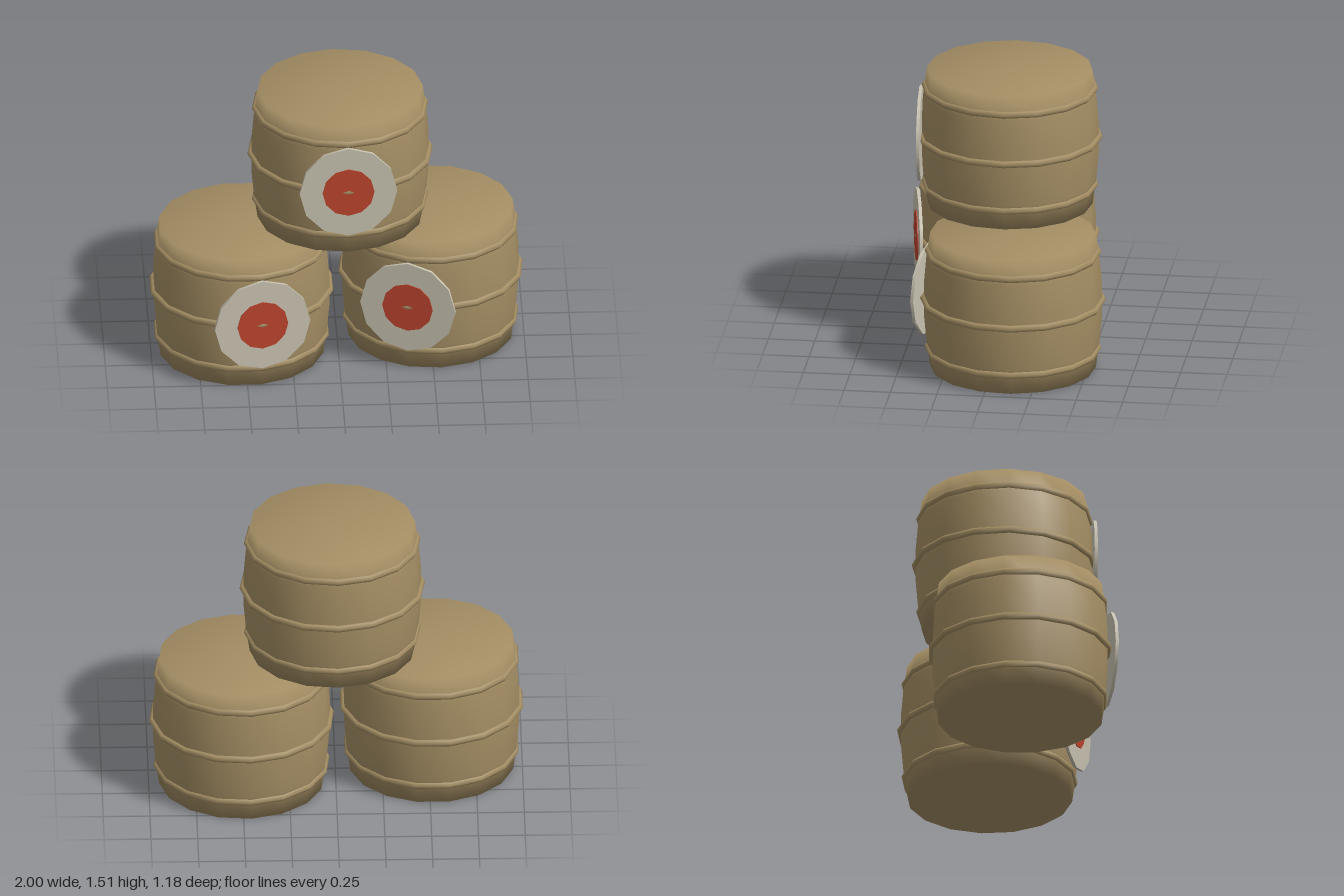
import * as THREE from 'three';

const wood = new THREE.MeshStandardMaterial({ color: 0xa38d63 });
wood.name = 'wood';
const cream = new THREE.MeshStandardMaterial({ color: 0xc6c0ae });
cream.name = 'cream';
const red = new THREE.MeshStandardMaterial({ color: 0xba432d });
red.name = 'red';

const SIDES = 16;
const HEIGHT = 0.755;
const MID = HEIGHT / 2 + 0.003;

function add(group, name, geometry, material) {
  const mesh = new THREE.Mesh(geometry, material);
  mesh.name = name;
  group.add(mesh);
  return mesh;
}

// Round plate facing +z, from depth z0 to z1
function plate(radius, z0, z1) {
  return new THREE.CylinderGeometry(radius, radius, z1 - z0, 12)
    .rotateX(Math.PI / 2)
    .translate(0, MID, (z0 + z1) / 2);
}

function createBarrel(name) {
  const barrel = new THREE.Group();
  barrel.name = name;

  // Bulging body with closed ends, shaded smoothly over the rims
  const profile = [
    [0, 0], [0.443, 0], [0.463, 0.14], [0.476, 0.29],
    [0.476, HEIGHT - 0.29], [0.463, HEIGHT - 0.14], [0.443, HEIGHT], [0, HEIGHT],
  ].map(([r, y]) => new THREE.Vector2(r, y));
  add(barrel, 'body', new THREE.LatheGeometry(profile, SIDES), wood);

  // Three hoops
  for (const [label, y, r] of [['lowerHoop', 0.108, 0.453], ['middleHoop', MID, 0.477], ['upperHoop', 0.653, 0.453]]) {
    const hoop = new THREE.TorusGeometry(r, 0.02, 6, SIDES).rotateX(Math.PI / 2).translate(0, y, 0);
    add(barrel, label, hoop, wood);
  }

  // Round target on the front; the middle hoop just breaks through its centre
  add(barrel, 'targetPlate', plate(0.262, 0.468, 0.485), cream);
  add(barrel, 'targetCentre', plate(0.139, 0.482, 0.4905), red);
  return barrel;
}

export function createModel() {
  const model = new THREE.Group();
  model.name = 'barrelStack';

  // name, x, y, z, turn in degrees
  const places = [
    ['rightBarrel', -0.515, 0, 0.06, 11.25],
    ['leftBarrel', 0.503, 0, -0.098, -17],
    ['topBarrel', 0.016, HEIGHT, -0.021, 3],
  ];
  for (const [name, x, y, z, turn] of places) {
    const barrel = createBarrel(name);
    barrel.position.set(x, y, z);
    barrel.rotation.y = THREE.MathUtils.degToRad(turn);
    model.add(barrel);
  }
  return model;
}
